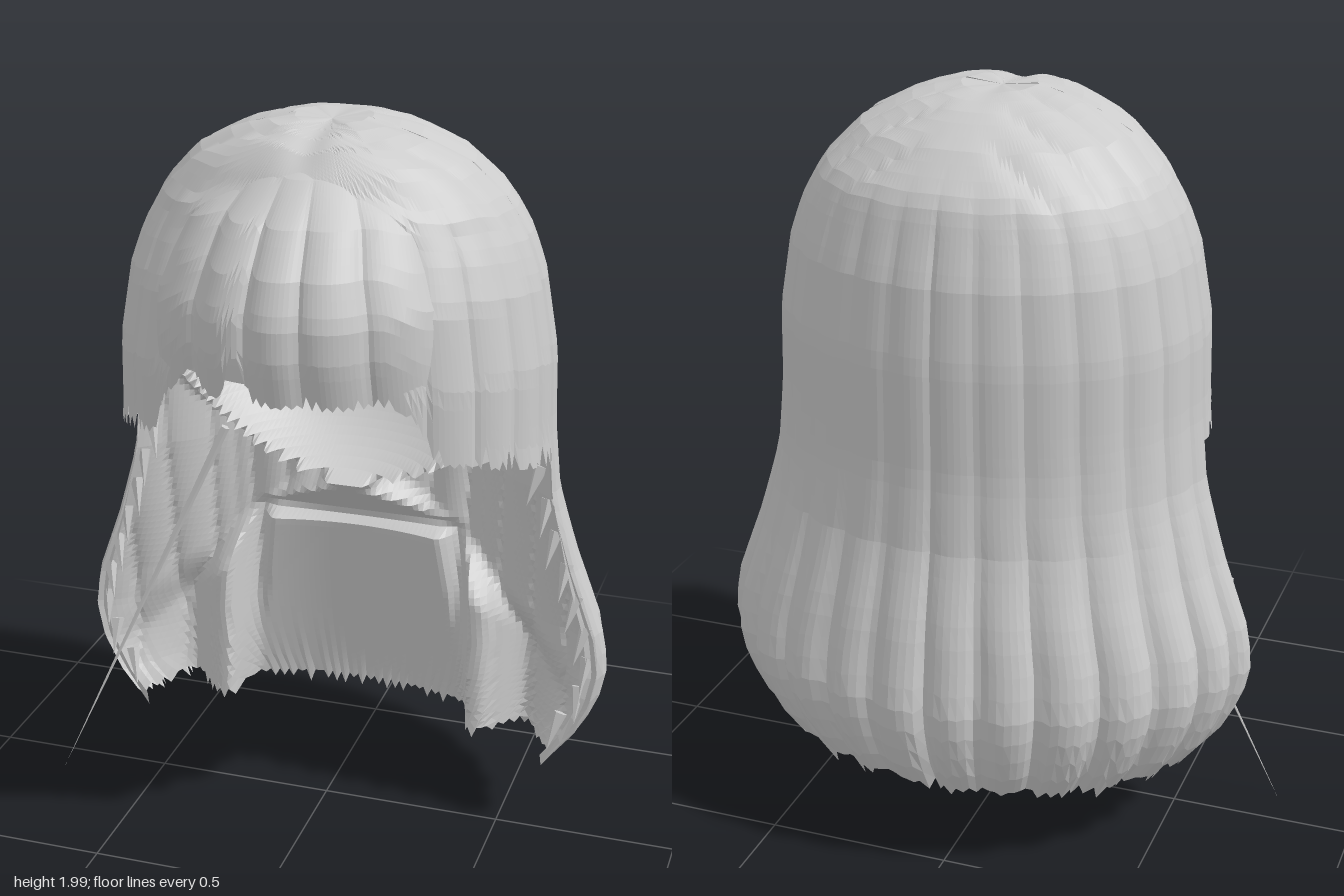
import * as THREE from 'three';

const CX = 0.035; // parting line
const mat = new THREE.MeshStandardMaterial({ color: 0xcccccc, flatShading: true, side: THREE.DoubleSide });

// Profiles: [height, value], from crown to tips
const WIDTH = [[2, 0], [1.995, 0.09], [1.985, 0.155], [1.96, 0.24], [1.9, 0.355], [1.8, 0.45], [1.7, 0.505], [1.6, 0.54], [1.4, 0.575],
  [1.2, 0.58], [1, 0.6], [0.8, 0.66], [0.6, 0.735], [0.5, 0.75], [0.4, 0.73], [0.3, 0.68], [0.2, 0.6]];
const BACK = [[2, 0], [1.995, 0.1], [1.985, 0.16], [1.96, 0.24], [1.9, 0.325], [1.8, 0.395], [1.6, 0.455], [1.4, 0.475], [1.1, 0.475],
  [0.9, 0.495], [0.7, 0.55], [0.5, 0.585], [0.4, 0.575], [0.3, 0.54], [0.2, 0.48]];
const FRONT = [[2, 0], [1.995, 0.1], [1.985, 0.16], [1.96, 0.22], [1.9, 0.29], [1.8, 0.4], [1.6, 0.5], [1.4, 0.52], [1.1, 0.5]];
const BANG_Z = [[1.94, 0.25], [1.9, 0.33], [1.8, 0.46], [1.7, 0.535], [1.6, 0.575], [1.5, 0.575], [1.35, 0.54]];
const BANG_W = [[1.94, 0.2], [1.8, 0.38], [1.6, 0.48], [1.35, 0.5]];
const SIDE_HEM = [[90, 1.1], [115, 1.16], [140, 1.22], [150, 1.46], [165, 1.83], [180, 1.91]];

function lookup(table, k) {
  const dir = Math.sign(table[1][0] - table[0][0]);
  for (let i = 1; i < table.length; i++) {
    const [a, va] = table[i - 1], [b, vb] = table[i];
    if ((b - k) * dir >= 0) return va + (vb - va) * THREE.MathUtils.clamp((k - a) / (b - a), 0, 1);
  }
  return table[table.length - 1][1];
}
const { smoothstep: smooth, lerp, clamp, degToRad } = THREE.MathUtils;
const noise = (n) => { const s = Math.sin(n * 127.1 + 31.7) * 43758.5453; return s - Math.floor(s); };
const groove = (phase) => 1 - Math.pow(Math.abs(Math.sin(phase)), 0.6);

// Grid surface from a rule (u, v, column) -> [x, y, z]
function surface(name, nu, nv, rule) {
  const pos = [], index = [];
  for (let j = 0; j <= nv; j++) for (let i = 0; i <= nu; i++) pos.push(...rule(i / nu, j / nv, i));
  for (let j = 0; j < nv; j++) for (let i = 0; i < nu; i++) {
    const a = j * (nu + 1) + i, b = a + 1, c = a + nu + 1, d = c + 1;
    index.push(a, c, b, b, c, d);
  }
  const g = new THREE.BufferGeometry();
  g.setAttribute('position', new THREE.Float32BufferAttribute(pos, 3));
  g.setIndex(index);
  g.computeVertexNormals();
  const mesh = new THREE.Mesh(g, mat);
  mesh.name = name;
  return mesh;
}

// Point on the outer hair; angle 0 is the back, +90 degrees the left side
function shellPoint(angle, y) {
  const amp = 0.022 + 0.046 * smooth(1.1 - y, 0, 0.6);
  const k = 1 - amp * groove(angle * 14 + 0.3 * Math.sin(angle * 4)) * smooth(2 - y, 0.12, 0.35);
  const c = Math.cos(angle);
  const x = lookup(WIDTH, y) * Math.sin(angle) * k;
  const z = 0.06 * smooth(y, 1.75, 2) - (c > 0 ? lookup(BACK, y) : lookup(FRONT, y)) * c * k;
  // Parting dent, and crown strands combed to either side
  const dent = 0.02 * Math.exp(-((x / 0.05) ** 2)) * smooth(y, 1.85, 1.98) * smooth(z, -0.2, 0.1);
  const comb = 0.012 * (1 - Math.abs(Math.sin((z + 0.3 * Math.abs(x)) * 26))) * smooth(y, 1.7, 1.85) * smooth(Math.abs(x), 0.03, 0.15);
  return [CX + x, y - dent - comb, z];
}

// Hollow head, centred behind the face
const HEAD = { y: 1.45, rx: 0.52, ry: 0.51, back: 0.42, front: 0.5 };
const headWidth = (y) => HEAD.rx * Math.sqrt(Math.max(0, 1 - ((y - HEAD.y) / HEAD.ry) ** 2));

// Depth of the hollow: head bowl, neck, torso panel, shoulders and side locks
function hollowDepth(x, y) {
  const ax = Math.abs(x), edge = lookup(WIDTH, y) * 0.97, w = headWidth(y);
  const bowl = ax < w ? HEAD.back * w / HEAD.rx * Math.sqrt(1 - (ax / w) ** 2) : 0;
  const neck = (0.05 + 1.1 * clamp(0.94 - y, 0, 0.14)) * smooth(0.4 - ax, 0, 0.12) * smooth(0.96 - y, 0, 0.02);
  const half = 0.26 + 0.12 * (0.78 - y);
  const panel = 0.17 + 0.2 * (0.78 - y) - 0.6 * x * x;
  const shoulder = smooth(0.8 - 0.9 * (ax - 0.25) - y, -0.05, 0.08);
  const start = lerp(0.36, 0.5, shoulder);
  const ramp = 0.18 * clamp((edge - ax) / (edge - start), 0, 1) + 0.02 * groove(ax * 30) * smooth(edge - ax, 0, 0.05);
  const arm = lerp(1, 0.4 + 0.6 * smooth(ax, 0.38, 0.5), shoulder);
  const side = ramp * arm * smooth(ax, w - 0.04, w + 0.04);
  const upper = Math.max(bowl, neck, side);
  return lerp(upper, panel, smooth(half - ax, -0.03, 0.03) * smooth(0.8 - y, 0, 0.03));
}

export function createModel() {
  const model = new THREE.Group();
  model.name = 'hair';

  // Long back hair, from crown to flared ragged tips
  model.add(surface('backHair', 112, 40, (u, v, i) =>
    shellPoint((u - 0.5) * Math.PI, 2 - 1.77 * Math.pow(v, 1.5) - 0.045 * noise(i) * (i % 2) * v ** 12)));

  // Shorter side locks that frame the face
  for (const s of [-1, 1]) {
    model.add(surface(s > 0 ? 'leftSideHair' : 'rightSideHair', 64, 24, (u, v, i) => {
      const deg = 90 + 90 * u;
      const rag = deg < 145 ? 0.07 * noise(i + s * 50) * (i % 2) * v ** 10 : 0;
      return shellPoint(s * degToRad(deg), 2 - (2 - lookup(SIDE_HEM, deg)) * Math.pow(v, 1.6) + rag);
    }));
  }

  // Bangs tucked under the parted front
  model.add(surface('bangs', 72, 16, (u, v, i) => {
    const a = degToRad((u - 0.5) * 104);
    const notch = 0.12 * Math.exp(-(((a + 0.2) / 0.05) ** 2)) + 0.05 * Math.exp(-(((a + 0.5) / 0.08) ** 2));
    const hem = 1.385 + notch - 0.1 * smooth(Math.abs(a), 0.55, 0.85);
    const y = 1.94 - (1.94 - hem) * Math.pow(v, 1.2) + 0.04 * noise(i + 9) * (i % 2) * v ** 10;
    const k = 1 - 0.05 * groove(a * 9 + Math.PI / 2 + 0.4 * Math.sin(a * 5)) * smooth(v, 0, 0.4);
    return [CX + lookup(BANG_W, y) * Math.sin(a) * k, y, lookup(BANG_Z, y) * Math.cos(a) * k];
  }));

  // Lining under the bangs and side locks
  model.add(surface('frontLining', 48, 18, (u, v) => {
    const a = (u - 0.5) * Math.PI;
    const hem = lerp(1.42, 1.18, smooth(Math.abs(a), 0.6, 1));
    const y = 1.95 - (1.95 - hem) * Math.pow(v, 1.5), w = headWidth(Math.max(y, HEAD.y));
    return [CX + w * Math.sin(a), y, HEAD.front * w / HEAD.rx * Math.cos(a)];
  }));

  // Inner wall of the long hair
  model.add(surface('innerHair', 96, 90, (u, v, i) => {
    const y = 1.95 - 1.71 * v, s = u * 2 - 1;
    const x = s * lerp(lookup(WIDTH, y) * 0.97, headWidth(y), smooth(y, 1.2, 1.3));
    const limit = lookup(BACK, y) * Math.sqrt(Math.max(0, 1 - s * s)) * 0.92;
    return [CX + x, y - 0.04 * noise(i + 77) * (i % 2) * v ** 30, -Math.min(hollowDepth(x, y), limit)];
  }));

  // Thin pointed wisp between two points
  const wisp = (name, from, to, r) => {
    const a = new THREE.Vector3(...from), d = new THREE.Vector3(...to).sub(a);
    const m = new THREE.Mesh(new THREE.ConeGeometry(r, d.length(), 5), mat);
    m.position.copy(a).addScaledVector(d, 0.5);
    m.quaternion.setFromUnitVectors(new THREE.Vector3(0, 1, 0), d.normalize());
    m.name = name;
    model.add(m);
  };
  // Ragged wisps along the front edge of the long hair
  for (const s of [-1, 1]) for (let i = 0; i < 9; i++) {
    const y = 0.3 + i * 0.09, w = lookup(WIDTH, y) - 0.05;
    wisp('edgeWisp', [CX + s * w, y + 0.06, -0.02], [CX + s * (w - 0.03 + 0.03 * noise(i)), y - 0.04, 0.02], 0.02);
  }
  // Long stray strand
  wisp('strayStrand', [-0.3, 1.08, -0.03], [-0.775, 0, 0.1], 0.013);
  return model;
}
